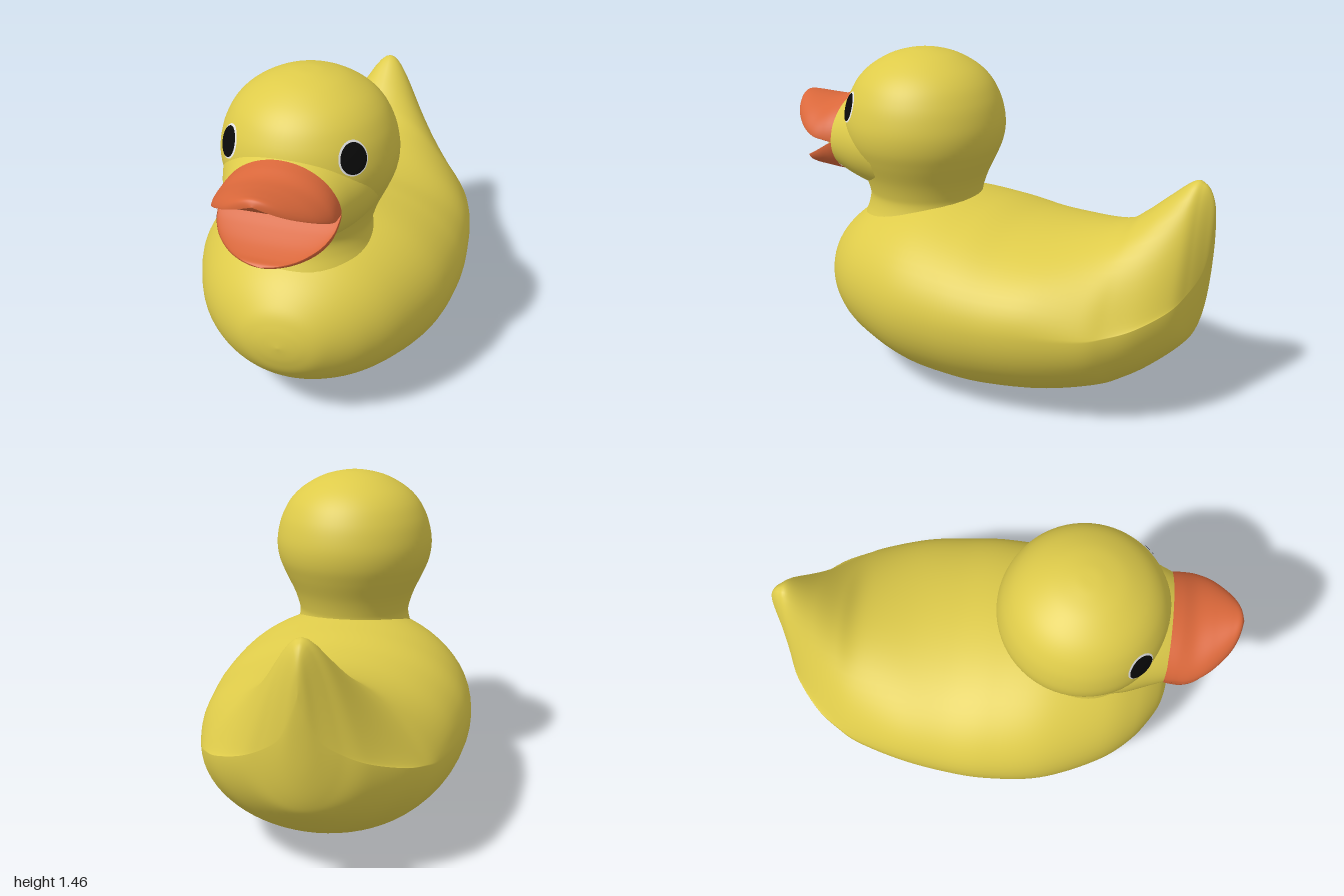
import * as THREE from 'three';
import { mergeVertices } from 'three/addons/utils/BufferGeometryUtils.js';

const material = (name, color) => {
  const m = new THREE.MeshStandardMaterial({ color });
  m.name = name;
  return m;
};

// Smooth value through the rows, by fractional row index
function sampleRows(rows, t) {
  const i = Math.min(Math.floor(t), rows.length - 2), f = t - i;
  const at = k => rows[Math.max(0, Math.min(rows.length - 1, k))];
  const [a, b, c, d] = [at(i - 1), at(i), at(i + 1), at(i + 2)];
  return b.map((_, k) => 0.5 * (2 * b[k] + (c[k] - a[k]) * f
    + (2 * a[k] - 5 * b[k] + 4 * c[k] - d[k]) * f * f
    + (3 * b[k] - a[k] - 3 * c[k] + d[k]) * f * f * f));
}

// Skin cross-sections running from back to front.
// Row: z, half width, height of widest line, top, bottom, peakedness of top
function loft(rows, steps = 8, sides = 64) {
  const pos = [], index = [], n = (rows.length - 1) * steps;
  for (let i = 0; i <= n; i++) {
    const [z, w, mid, top, bottom, peak] = sampleRows(rows, i / steps);
    for (let j = 0; j < sides; j++) {
      const a = j / sides * Math.PI * 2, s = Math.sin(a);
      const y = s >= 0 ? mid + (top - mid) * Math.pow(s, peak) : mid + (bottom - mid) * -s;
      pos.push(Math.max(0, w) * Math.cos(a), y, z);
      if (i < n) {
        const p = i * sides + j, q = i * sides + (j + 1) % sides;
        index.push(p, q, p + sides, q, q + sides, p + sides);
      }
    }
  }
  let g = new THREE.BufferGeometry();
  g.setAttribute('position', new THREE.Float32BufferAttribute(pos, 3));
  g.setIndex(index);
  g = mergeVertices(g, 1e-5);
  g.computeVertexNormals();
  return g;
}

const BODY = [
  [-1.0, 0, 0.84, 0.84, 0.84, 1],
  [-0.993, 0.03, 0.76, 0.93, 0.70, 1.3],
  [-0.975, 0.075, 0.66, 0.99, 0.51, 1.8],
  [-0.945, 0.15, 0.60, 1.025, 0.38, 2.3],
  [-0.90, 0.25, 0.55, 1.03, 0.31, 2.7],
  [-0.80, 0.37, 0.50, 0.95, 0.22, 2.7],
  [-0.70, 0.44, 0.47, 0.865, 0.15, 2.1],
  [-0.60, 0.49, 0.45, 0.80, 0.10, 1.5],
  [-0.40, 0.545, 0.44, 0.765, 0.04, 1.05],
  [-0.20, 0.575, 0.43, 0.77, 0.01, 1],
  [0.0, 0.585, 0.43, 0.803, 0.0, 1],
  [0.25, 0.555, 0.43, 0.825, 0.022, 1],
  [0.50, 0.45, 0.43, 0.775, 0.095, 1],
  [0.65, 0.335, 0.43, 0.69, 0.175, 1],
  [0.75, 0.20, 0.43, 0.59, 0.27, 1],
  [0.787, 0.105, 0.43, 0.51, 0.35, 1],
  [0.80, 0, 0.43, 0.43, 0.43, 1],
];
const MUZZLE = [
  [0.45, 0.32, 1.05, 1.29, 0.80, 1],
  [0.55, 0.302, 1.05, 1.28, 0.82, 1],
  [0.65, 0.262, 1.045, 1.25, 0.845, 1],
  [0.725, 0.232, 1.04, 1.215, 0.875, 1],
];
const UPPER_BILL = [
  [0.708, 0.24, 1.043, 1.23, 1.03, 1.1],
  [0.75, 0.243, 1.05, 1.22, 1.035, 1.15],
  [0.81, 0.24, 1.06, 1.202, 1.055, 1.25],
  [0.88, 0.205, 1.09, 1.203, 1.10, 1.3],
  [0.95, 0.135, 1.13, 1.21, 1.145, 1.3],
  [0.985, 0.07, 1.16, 1.21, 1.168, 1.1],
  [1.0, 0, 1.187, 1.187, 1.187, 1],
];
const LOWER_BILL = [
  [0.708, 0.24, 1.043, 1.035, 0.865, 1],
  [0.74, 0.24, 1.025, 1.015, 0.869, 1],
  [0.79, 0.232, 0.995, 0.98, 0.878, 1],
  [0.85, 0.20, 0.963, 0.945, 0.885, 1],
  [0.905, 0.14, 0.935, 0.923, 0.892, 1],
  [0.937, 0.07, 0.917, 0.917, 0.898, 1],
  [0.95, 0, 0.907, 0.907, 0.907, 1],
];

// Neck and skull profile: radius, height
const HEAD_Z = 0.353;
const headProfile = new THREE.SplineCurve([
  [0.285, 0.70], [0.266, 0.75], [0.257, 0.80], [0.263, 0.84], [0.285, 0.905],
  [0.325, 0.99], [0.352, 1.06], [0.361, 1.13], [0.352, 1.20], [0.331, 1.265],
  [0.293, 1.33], [0.235, 1.385], [0.15, 1.432], [0.06, 1.456], [0, 1.46],
].map(p => new THREE.Vector2(...p))).getPoints(84);

function headRadius(y) {
  const i = headProfile.findIndex(p => p.y >= y), a = headProfile[i - 1], b = headProfile[i];
  return a.x + (b.x - a.x) * (y - a.y) / (b.y - a.y);
}

// Thin oval wrapped onto the skull
function eyePatch(angle, halfWidth, halfHeight, lift) {
  const g = new THREE.RingGeometry(0.001, 1, 40, 6), p = g.attributes.position;
  for (let i = 0; i < p.count; i++) {
    const y = 1.22 + p.getY(i) * halfHeight, r = headRadius(y) + lift;
    const a = angle + p.getX(i) * halfWidth / 0.347;
    p.setXYZ(i, Math.sin(a) * r, y, HEAD_Z + Math.cos(a) * r);
  }
  g.computeVertexNormals();
  return g;
}

export function createModel() {
  const yellow = material('duck yellow', 0xdecb4a);
  const orange = material('bill orange', 0xd9673a);
  const black = material('eye black', 0x0a0a0a);
  const white = material('eye rim white', 0xe8e8e8);

  const model = new THREE.Group();
  model.name = 'rubberDuck';
  const add = (name, geometry, mat) => {
    const mesh = new THREE.Mesh(geometry, mat);
    mesh.name = name;
    model.add(mesh);
    return mesh;
  };

  // Body with upturned tail
  add('body', loft(BODY), yellow);

  // Head, neck and bulge behind the bill
  add('head', new THREE.LatheGeometry(headProfile, 72), yellow).position.z = HEAD_Z;
  add('muzzle', loft(MUZZLE), yellow);

  // Open bill
  add('upperBill', loft(UPPER_BILL), orange);
  add('lowerBill', loft(LOWER_BILL), orange);

  // Eyes
  for (const [side, sign] of [['left', 1], ['right', -1]]) {
    add(side + 'EyeRim', eyePatch(sign * 0.806, 0.063, 0.067, 0.003), white);
    add(side + 'Eye', eyePatch(sign * 0.806, 0.056, 0.060, 0.006), black);
  }
  return model;
}
